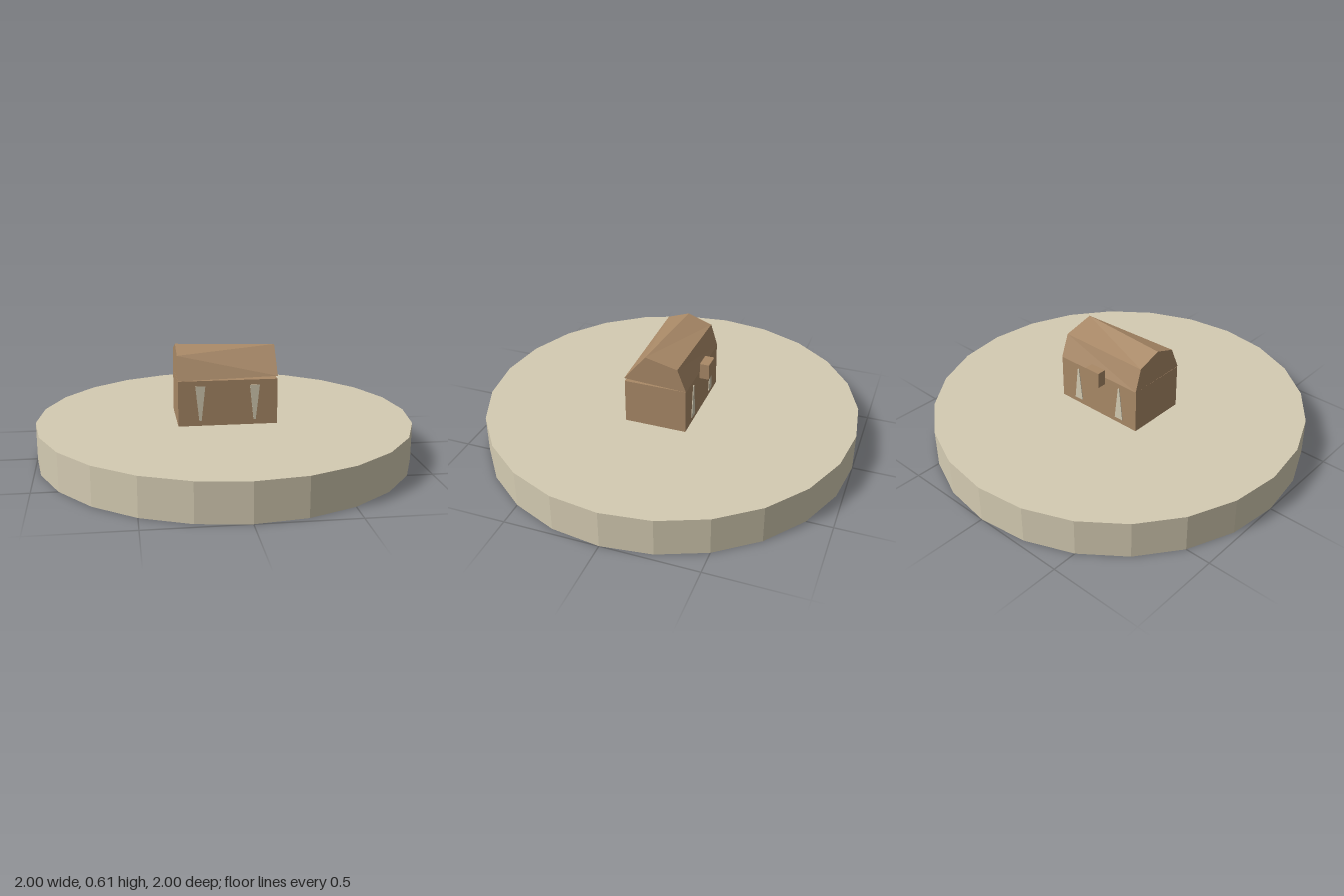
import * as THREE from 'three';

export function createModel() {
  const group = new THREE.Group();
  const stone = new THREE.MeshStandardMaterial({ color: 0xd4cbb2 });
  const wood = new THREE.MeshStandardMaterial({ color: 0xa98967 });
  stone.name = 'pale stone';
  wood.name = 'brown wood';

  function add(name, geometry, material, x = 0, y = 0, z = 0) {
    const flat = geometry.index ? geometry.toNonIndexed() : geometry;
    flat.computeVertexNormals();
    const mesh = new THREE.Mesh(flat, material);
    mesh.name = name;
    mesh.position.set(x, y, z);
    group.add(mesh);
    return mesh;
  }

  // Round faceted platform
  add('platform', new THREE.CylinderGeometry(1, 1, 0.2, 24), stone, 0, 0.1, 0);

  // Chest body
  add('chestBody', new THREE.BoxGeometry(0.52, 0.24, 0.33), wood, 0, 0.32, 0);

  // Uneven lid: [z, y] sections at the two ends, front edge to back edge
  const left = [[0.168, 0.442], [0.115, 0.565], [0, 0.605], [-0.13, 0.56], [-0.167, 0.44]];
  const right = [[0.168, 0.456], [0.05, 0.6], [0.05, 0.6], [-0.12, 0.56], [-0.167, 0.44]];
  const verts = [];
  const L = (i) => [-0.26, left[i][1], left[i][0]];
  const R = (i) => [0.26, right[i][1], right[i][0]];
  const tri = (...points) => points.forEach((p) => verts.push(...p));
  for (let i = 0; i < 5; i++) {
    const j = (i + 1) % 5;
    tri(L(i), R(i), L(j));
    if (i !== 1) tri(R(i), R(j), L(j)); // the second strip narrows to a point
  }
  for (let i = 1; i < 4; i++) {
    tri(L(0), L(i), L(i + 1));
    if (i !== 1) tri(R(0), R(i + 1), R(i));
  }
  const lid = new THREE.BufferGeometry();
  lid.setAttribute('position', new THREE.Float32BufferAttribute(verts, 3));
  add('lid', lid, wood);

  // Thin tapered straps: pointing down in front, up at the back
  function strap(points) {
    const shape = new THREE.Shape(points.map(([x, y]) => new THREE.Vector2(x, y)));
    return new THREE.ExtrudeGeometry(shape, { depth: 0.006, bevelEnabled: false });
  }
  for (const x of [-0.145, 0.14]) {
    add('frontStrap', strap([[-0.026, 0.412], [-0.006, 0.228], [0.006, 0.228], [0.026, 0.412]]), stone, x, 0, 0.163);
    add('backStrap', strap([[-0.026, 0.228], [0.026, 0.228], [0.004, 0.412], [-0.004, 0.412]]), stone, x, 0, -0.169);
  }

  // Small latch block at the back
  add('latch', new THREE.BoxGeometry(0.09, 0.085, 0.05), wood, -0.005, 0.442, -0.191);

  return group;
}
